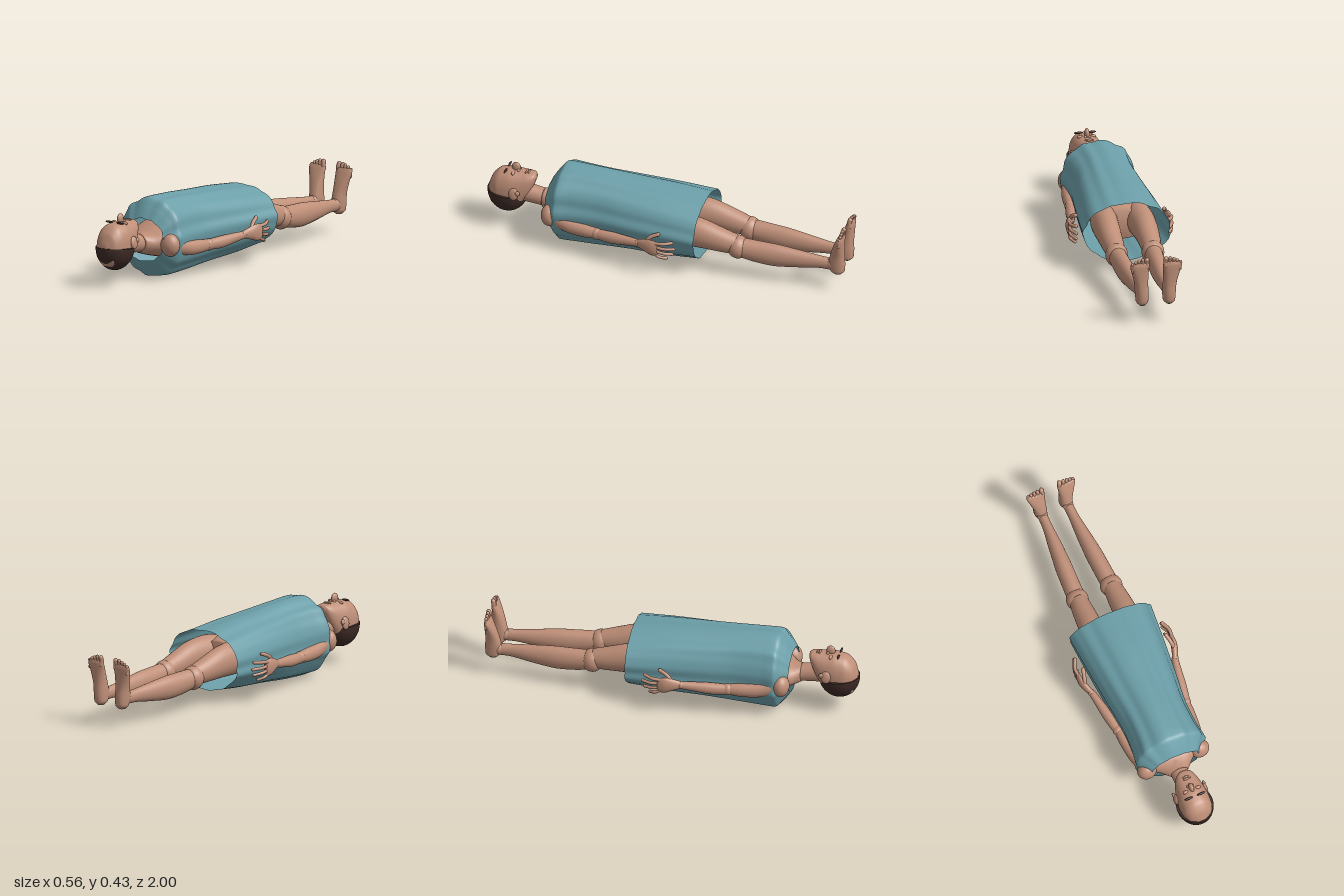
import * as THREE from 'three';

const paint = (color, side = THREE.FrontSide) => new THREE.MeshStandardMaterial({ color, side });
const skin = paint(0xbf8f78);
const hairMat = paint(0x3d2a25);
const cloth = paint(0x6c9fa9, THREE.DoubleSide);
const V = (x, y, z) => new THREE.Vector3(x, y, z);

// Smooth skin over elliptical sections [z, x, y, rx, ry], listed by rising z.
function loft(sections, { steps = 24, sides = 28, caps = true, power = 1, ripple = () => 1 } = {}) {
  const centres = new THREE.CatmullRomCurve3(sections.map(s => V(s[1], s[2], s[0])));
  const radii = new THREE.CatmullRomCurve3(sections.map(s => V(s[3], s[4], 0)));
  const pos = [], idx = [];
  const bend = c => Math.sign(c) * Math.abs(c) ** power;
  for (let i = 0; i <= steps; i++) {
    const c = centres.getPoint(i / steps), r = radii.getPoint(i / steps);
    for (let j = 0; j < sides; j++) {
      const a = j / sides * Math.PI * 2, k = ripple(a, i / steps);
      pos.push(c.x + r.x * k * bend(Math.cos(a)), c.y + r.y * k * bend(Math.sin(a)), c.z);
    }
  }
  for (let i = 0; i < steps; i++) for (let j = 0; j < sides; j++) {
    const n = (j + 1) % sides, a = i * sides + j, b = i * sides + n;
    idx.push(a, b, b + sides, a, b + sides, a + sides);
  }
  if (caps) {
    const first = pos.length / 3, top = steps * sides;
    for (const t of [0, 1]) pos.push(...centres.getPoint(t).toArray());
    for (let j = 0; j < sides; j++) {
      const n = (j + 1) % sides;
      idx.push(first, n, j, first + 1, top + j, top + n);
    }
  }
  const g = new THREE.BufferGeometry();
  g.setAttribute('position', new THREE.Float32BufferAttribute(pos, 3));
  g.setIndex(idx);
  g.computeVertexNormals();
  return g;
}

function add(parent, name, geometry, material = skin) {
  const m = new THREE.Mesh(geometry, material);
  m.name = name;
  parent.add(m);
  return m;
}

function ball(parent, name, at, size, material = skin) {
  const m = add(parent, name, new THREE.SphereGeometry(1, 24, 16), material);
  m.position.set(...at);
  m.scale.set(...size);
  return m;
}

// Bent digit with rounded ends
function digit(parent, name, points, r) {
  const g = new THREE.Group();
  g.name = name;
  parent.add(g);
  const curve = new THREE.CatmullRomCurve3(points.map(p => V(...p)));
  add(g, name + 'Shaft', new THREE.TubeGeometry(curve, 8, r, 10));
  for (const p of [points[0], points.at(-1)]) ball(g, name + 'End', p, [r, r, r]);
}

// Mirrors a left-hand builder onto both sides; x is flipped in the geometry
function bothSides(parent, name, build) {
  for (const s of [1, -1]) {
    const g = new THREE.Group();
    g.name = (s > 0 ? 'left' : 'right') + name;
    build(g);
    g.scale.x = s;
    parent.add(g);
  }
}

function buildArm(g) {
  ball(g, 'shoulderJoint', [0.15, 0.195, 0.61], [0.053, 0.061, 0.046]);
  add(g, 'upperArm', loft([
    [0.33, 0.192, 0.16, 0.024, 0.028], [0.4, 0.186, 0.16, 0.03, 0.036],
    [0.49, 0.174, 0.165, 0.034, 0.04], [0.6, 0.152, 0.19, 0.035, 0.042]]));
  ball(g, 'elbowJoint', [0.194, 0.16, 0.335], [0.028, 0.032, 0.03]);
  add(g, 'forearm', loft([
    [0.09, 0.238, 0.178, 0.018, 0.02], [0.15, 0.226, 0.172, 0.022, 0.025],
    [0.25, 0.208, 0.162, 0.028, 0.032], [0.335, 0.195, 0.16, 0.024, 0.028]]));
  ball(g, 'wristJoint', [0.24, 0.18, 0.092], [0.018, 0.021, 0.018]);
  add(g, 'palm', loft([
    [-0.025, 0.266, 0.18, 0.012, 0.042], [0.01, 0.266, 0.183, 0.016, 0.045],
    [0.05, 0.256, 0.184, 0.018, 0.035], [0.1, 0.238, 0.18, 0.014, 0.018]], { steps: 14 }));
  // Fingers fan out and curl inward
  [[0.213, 0.222, -0.098], [0.191, 0.186, -0.11], [0.169, 0.154, -0.1], [0.148, 0.124, -0.07]]
    .forEach(([y0, y1, z], i) => digit(g, 'finger' + (i + 1), [
      [0.267, y0, -0.01], [0.27, (y0 + y1) / 2, z * 0.55], [0.25, y1, z]], 0.0095 - i * 0.0005));
  digit(g, 'thumb', [[0.256, 0.2, 0.05], [0.248, 0.235, 0.02], [0.237, 0.253, -0.02]], 0.0105);
}

function buildLeg(g) {
  add(g, 'thigh', loft([
    [-0.42, 0.096, 0.185, 0.047, 0.052], [-0.33, 0.099, 0.2, 0.057, 0.066],
    [-0.21, 0.1, 0.22, 0.065, 0.083], [-0.08, 0.095, 0.225, 0.072, 0.09],
    [0.05, 0.085, 0.22, 0.06, 0.07]]));
  ball(g, 'kneeJoint', [0.097, 0.175, -0.415], [0.06, 0.064, 0.058]);
  add(g, 'calf', loft([
    [-0.95, 0.073, 0.155, 0.026, 0.032], [-0.87, 0.074, 0.158, 0.026, 0.034],
    [-0.74, 0.08, 0.157, 0.037, 0.05], [-0.6, 0.088, 0.158, 0.046, 0.063],
    [-0.5, 0.093, 0.165, 0.047, 0.06], [-0.42, 0.097, 0.175, 0.048, 0.052]]));
  ball(g, 'ankleJoint', [0.073, 0.16, -0.925], [0.03, 0.035, 0.03]);
  // Foot is lofted from heel to toe, then stood upright
  add(g, 'foot', loft([
    [0.106, 0.072, 0.957, 0.016, 0.02], [0.125, 0.072, 0.957, 0.032, 0.038],
    [0.17, 0.073, 0.954, 0.035, 0.044], [0.22, 0.076, 0.958, 0.036, 0.038],
    [0.28, 0.083, 0.968, 0.043, 0.029], [0.33, 0.088, 0.979, 0.051, 0.019],
    [0.348, 0.089, 0.982, 0.047, 0.012]], { power: 0.9 }).rotateX(-Math.PI / 2));
  [[0.05, 0.366, 0.0125], [0.073, 0.368, 0.0095], [0.092, 0.362, 0.009], [0.11, 0.354, 0.0085], [0.127, 0.344, 0.008]]
    .forEach(([x, y, r], i) => digit(g, 'toe' + (i + 1), [
      [x, y - 0.04, -0.982], [x, y - 0.015, -0.981], [x + 0.001, y, -0.985]], r));
}

function buildHead(g) {
  add(g, 'skull', loft([
    [0.733, 0, 0.318, 0.02, 0.012], [0.745, 0, 0.305, 0.042, 0.034],
    [0.775, 0, 0.272, 0.062, 0.07], [0.82, 0, 0.24, 0.076, 0.102],
    [0.88, 0, 0.224, 0.084, 0.12], [0.93, 0, 0.218, 0.081, 0.115],
    [0.97, 0, 0.21, 0.061, 0.085], [0.993, 0, 0.205, 0.02, 0.03]],
  { steps: 40, sides: 40, power: 0.85 }));
  // Hair: closed lower half shell around the back of the skull
  const arc = [V(0, -1, 0)];
  for (let i = 1; i <= 16; i++) {
    const a = i / 16 * Math.PI / 2;
    arc.push(V(Math.sin(a), -Math.cos(a), 0));
  }
  const half = new THREE.SphereGeometry(1, 40, 16, 0, Math.PI * 2, Math.PI / 2, Math.PI / 2);
  const hair = new THREE.Group();
  hair.name = 'hair';
  add(hair, 'hairShell', half, hairMat);
  add(hair, 'hairEdge', new THREE.CircleGeometry(1, 40).rotateX(-Math.PI / 2), hairMat);
  hair.position.set(0, 0.213, 0.89);
  hair.scale.set(0.098, 0.123, 0.11);
  hair.rotation.x = -0.06;
  g.add(hair);
  ball(g, 'nose', [0, 0.356, 0.845], [0.0135, 0.028, 0.024]);
  ball(g, 'upperLip', [0, 0.341, 0.787], [0.024, 0.007, 0.0055]);
  ball(g, 'lowerLip', [0, 0.34, 0.774], [0.02, 0.007, 0.0055]);
  bothSides(g, 'FaceSide', s => {
    ball(s, 'eye', [0.034, 0.335, 0.852], [0.017, 0.01, 0.009]);
    ball(s, 'eyebrow', [0.036, 0.343, 0.893], [0.024, 0.006, 0.006], hairMat);
    ball(s, 'nostril', [0.011, 0.341, 0.83], [0.008, 0.009, 0.009]);
    ball(s, 'ear', [0.083, 0.236, 0.835], [0.012, 0.034, 0.027]).rotation.z = 0.15;
    ball(s, 'earLobe', [0.086, 0.245, 0.812], [0.009, 0.014, 0.014]);
  });
}

export function createModel() {
  const model = new THREE.Group();
  model.name = 'lyingPatient';

  // Torso, with shoulders tapering into the neck
  add(model, 'torso', loft([
    [-0.1, 0, 0.215, 0.13, 0.08], [0.0, 0, 0.215, 0.155, 0.1], [0.25, 0, 0.21, 0.13, 0.095],
    [0.48, 0, 0.205, 0.155, 0.105], [0.6, 0, 0.192, 0.145, 0.07], [0.65, 0, 0.192, 0.09, 0.056],
    [0.69, 0, 0.2, 0.053, 0.05]], { steps: 36 }));
  add(model, 'neck', loft([
    [0.62, 0, 0.195, 0.06, 0.055], [0.7, 0, 0.203, 0.047, 0.048], [0.82, 0, 0.22, 0.05, 0.055]]));

  const head = new THREE.Group();
  head.name = 'head';
  buildHead(head);
  model.add(head);
  bothSides(model, 'Arm', buildArm);
  bothSides(model, 'Leg', buildLeg);

  // Loose gown, open at the hem and neck, with uneven lengthwise folds
  const folds = (a, t) => 1 + (0.013 + 0.006 * t) * Math.sin(11 * a + 0.6 + 0.8 * t)
    + 0.009 * Math.sin(7 * a + 2 + t) + 0.006 * Math.sin(17 * a);
  add(model, 'gown', loft([
    [-0.212, 0, 0.218, 0.231, 0.158], [0, 0, 0.217, 0.215, 0.18], [0.2, 0, 0.217, 0.197, 0.192],
    [0.38, 0, 0.215, 0.181, 0.206], [0.5, 0, 0.215, 0.186, 0.21], [0.57, 0, 0.215, 0.196, 0.208],
    [0.61, 0, 0.214, 0.168, 0.165], [0.645, 0, 0.212, 0.135, 0.112]],
  { steps: 56, sides: 120, caps: false, power: 0.95, ripple: folds }), cloth);
  return model;
}
